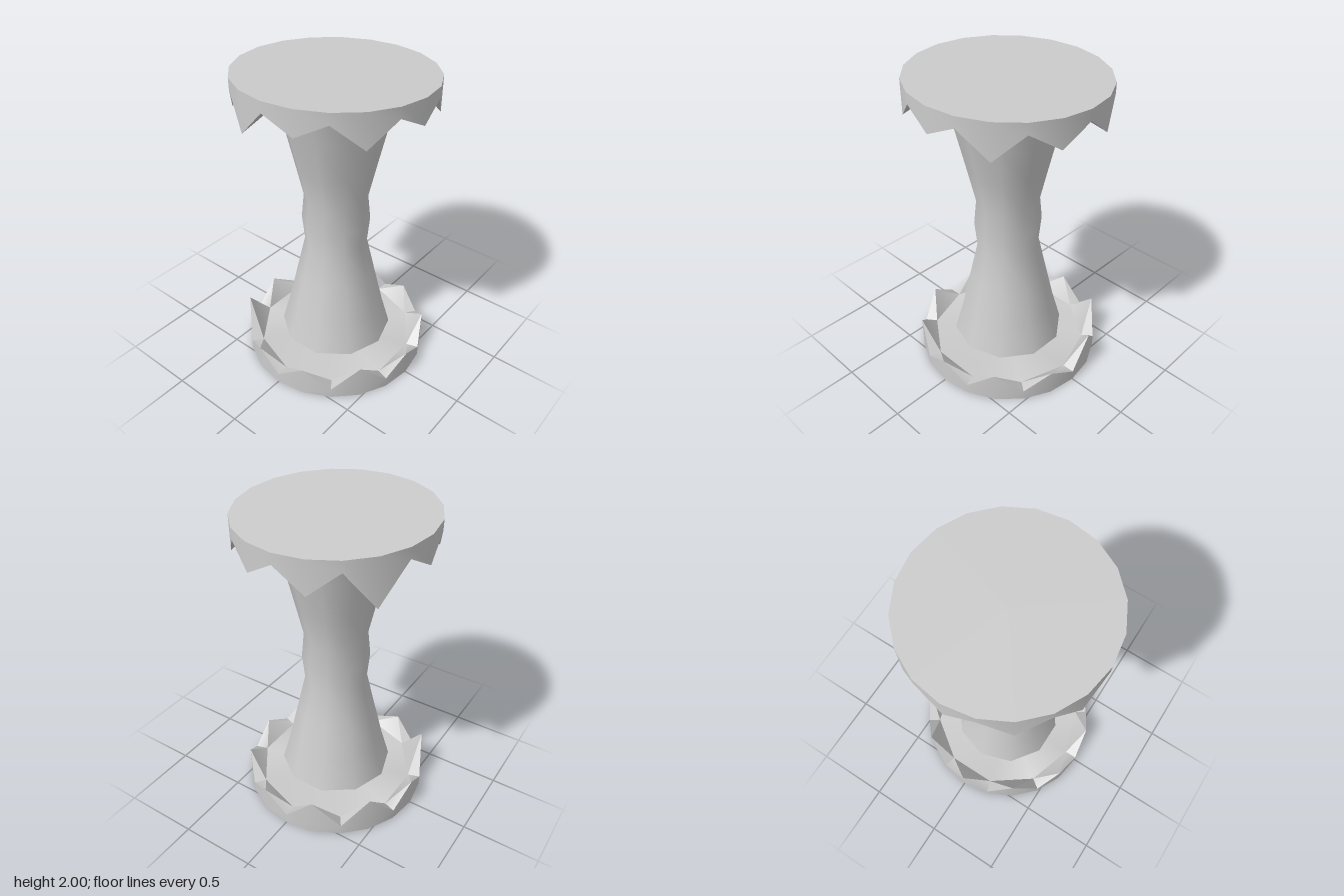
import * as THREE from 'three';
import { toCreasedNormals } from 'three/addons/utils/BufferGeometryUtils.js';

const material = new THREE.MeshStandardMaterial({ color: 0xcccccc });
const TEETH = 10, RADIUS = 0.6, INNER = 0.52, FLOOR = 0.068;

// Shallow disc whose rim rises into ten uneven teeth.
// place(x, y, z) puts a point in the model; flip reverses the faces when it mirrors.
function crownDisc(name, toothHeights, place, flip) {
  const positions = [];
  const point = (step, r, y) => {
    const a = (step * Math.PI) / TEETH;
    return place(Math.cos(a) * r, y, Math.sin(a) * r);
  };
  const tri = (a, b, c) => positions.push(...a, ...(flip ? c : b), ...(flip ? b : c));
  const baseCentre = place(0, 0, 0), floorCentre = place(0, FLOOR, 0);

  for (let k = 0; k < TEETH; k++) {
    const s = 2 * k;
    const [b0, b1, b2] = [s - 1, s, s + 1].map((n) => point(n, RADIUS, 0));
    const v0 = point(s - 1, RADIUS, FLOOR), v2 = point(s + 1, RADIUS, FLOOR);
    const i0 = point(s - 1, INNER, FLOOR), i2 = point(s + 1, INNER, FLOOR);
    const tip = point(s, RADIUS, toothHeights[k]);
    // outer wall
    tri(b0, v0, b1);
    tri(v0, tip, b1);
    tri(b1, tip, b2);
    tri(tip, v2, b2);
    // flat base and inner floor
    tri(baseCentre, b0, b1);
    tri(baseCentre, b1, b2);
    tri(floorCentre, i2, i0);
    // sloping inside of the tooth
    tri(v0, i0, tip);
    tri(tip, i0, i2);
    tri(v2, tip, i2);
  }
  const geometry = new THREE.BufferGeometry();
  geometry.setAttribute('position', new THREE.Float32BufferAttribute(positions, 3));
  const mesh = new THREE.Mesh(toCreasedNormals(geometry, 0.6), material);
  mesh.name = name;
  return mesh;
}

// Ten-sided waisted column with closed ends
function column() {
  const group = new THREE.Group();
  group.name = 'column';
  const profile = [
    [0.37, 0.14], [0.312, 0.35], [0.255, 0.6], [0.202, 0.835], [0.218, 1],
    [0.202, 1.165], [0.255, 1.4], [0.312, 1.645], [0.37, 1.853],
  ].map(([r, y]) => new THREE.Vector2(r, y));
  const shaft = new THREE.Mesh(new THREE.LatheGeometry(profile, 10, Math.PI / 2), material);
  shaft.name = 'shaft';
  group.add(shaft);
  for (const [name, y, turn] of [['columnTop', 1.853, -1], ['columnBottom', 0.14, 1]]) {
    const end = new THREE.Mesh(new THREE.CircleGeometry(0.37, 10), material);
    end.name = name;
    end.rotation.x = (turn * Math.PI) / 2;
    end.position.y = y;
    group.add(end);
  }
  return group;
}

export function createModel() {
  const model = new THREE.Group();
  model.name = 'toothedColumn';
  model.add(column());
  // Tooth heights run from +x round towards +z
  const lower = [0.17, 0.23, 0.2, 0.165, 0.3, 0.19, 0.255, 0.25, 0.165, 0.205];
  const upper = [0.16, 0.215, 0.16, 0.25, 0.245, 0.18, 0.3, 0.21, 0.18, 0.225];
  model.add(crownDisc('lowerDisc', lower, (x, y, z) => [x, y, z], false));
  // The upper disc hangs upside down and leans slightly to the back
  model.add(crownDisc('upperDisc', upper, (x, y, z) => [x, 1.98 + 0.033 * z - y, z], true));
  return model;
}
